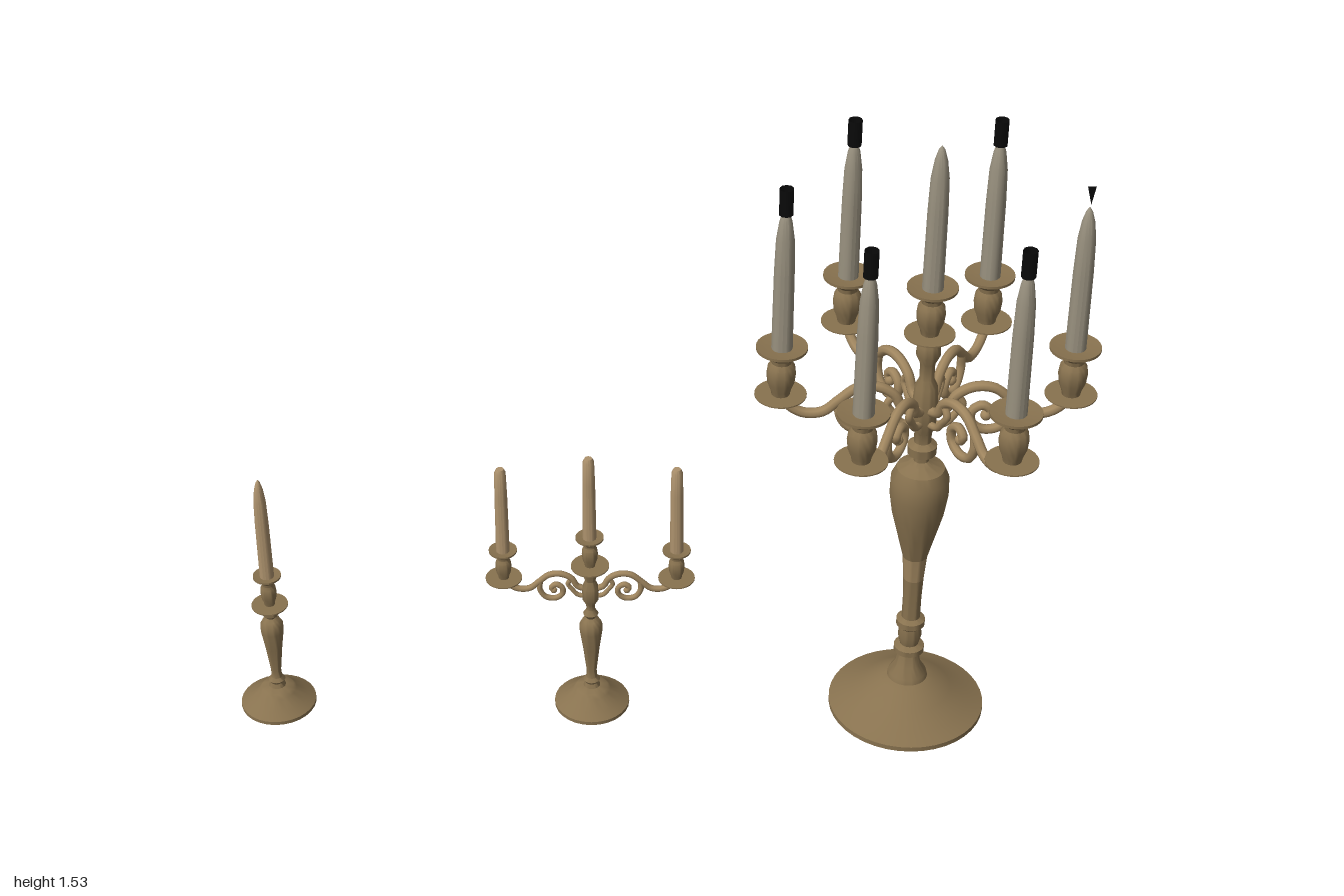
import * as THREE from 'three';
import { toCreasedNormals } from 'three/addons/utils/BufferGeometryUtils.js';

const paint = (name, color, side = THREE.FrontSide) => {
  const m = new THREE.MeshStandardMaterial({ color, side });
  m.name = name;
  return m;
};

export function createModel() {
  const bronze = paint('bronze', 0x88724f);
  const lightBronze = paint('lightBronze', 0xa0865f);
  const greyWax = paint('greyWax', 0x99917f);
  const tanWax = paint('tanWax', 0xad926d);
  const black = paint('wickBlack', 0x0a0a0a, THREE.DoubleSide);
  const felt = paint('darkRedFelt', 0x55282c);

  const add = (parent, name, geometry, material) => {
    const mesh = new THREE.Mesh(geometry, material);
    mesh.name = name;
    parent.add(mesh);
    return mesh;
  };
  const group = (parent, name, x = 0, y = 0) => {
    const g = new THREE.Group();
    g.name = name;
    g.position.set(x, y, 0);
    parent.add(g);
    return g;
  };
  // Turned part from [radius, height] pairs, bottom to top
  const turned = (parent, name, profile, material, segments = 28) => add(parent, name,
    toCreasedNormals(new THREE.LatheGeometry(profile.map(([r, y]) => new THREE.Vector2(r, y)), segments), 0.7), material);

  // Drip plate, cup and rim; height is plate to rim
  const cup = (parent, y, height, plate, rim) => {
    const g = group(parent, 'candleCup', 0, y);
    const h = height, b = rim * 0.53;
    turned(g, 'dripPlate', [[0, -0.003], [plate * 0.7, -0.003], [plate, 0.001], [plate, 0.004], [plate * 0.4, 0.004], [0, 0.004]], bronze);
    turned(g, 'cupBody', [[b * 0.65, 0], [b * 0.75, h * 0.12], [b, h * 0.28], [b * 1.08, h * 0.45], [b, h * 0.6],
      [b * 0.75, h * 0.68], [b * 0.8, h * 0.76], [rim * 0.75, h * 0.88], [rim, h * 0.95], [rim, h], [rim * 0.5, h * 0.97], [0, h * 0.97]], bronze);
    return g;
  };
  const candle = (parent, y, height, r, material, pointed) => turned(parent, 'candle', (pointed
    ? [[r, 0], [r * 0.95, 0.55], [r * 0.85, 0.78], [r * 0.6, 0.9], [r * 0.3, 0.97], [0, 1]]
    : [[r, 0], [r * 0.92, 0.7], [r * 0.82, 0.96], [r * 0.55, 1], [0, 1]]
  ).map(([a, b]) => [a, y + b * height]), material, 16);

  // Scrolled arm in the x-y plane, measured from the cup plate's height
  const tube = (parent, name, pts, radius, s) => {
    const curve = new THREE.CatmullRomCurve3(pts.map(([x, y]) => new THREE.Vector3(x * s, y * s, 0)));
    add(parent, name, new THREE.TubeGeometry(curve, 40, radius * s, 8), lightBronze);
  };
  const arm = (parent, s) => {
    const g = group(parent, 'scrollArm');
    tube(g, 'mainCurve', [[0.326, 0], [0.305, -0.03], [0.272, -0.048], [0.23, -0.045], [0.195, -0.015], [0.155, 0.018],
      [0.11, 0.022], [0.07, 0], [0.05, -0.035], [0.012, -0.05]], 0.012, s);
    tube(g, 'innerScroll', [[0.19, -0.012], [0.192, -0.05], [0.172, -0.085], [0.135, -0.093], [0.107, -0.073],
      [0.107, -0.043], [0.13, -0.028], [0.148, -0.042], [0.14, -0.057]], 0.011, s);
    tube(g, 'hubScroll', [[0.07, 0], [0.085, -0.025], [0.07, -0.05], [0.05, -0.075], [0.015, -0.085]], 0.009, s);
    add(g, 'scrollBead', new THREE.SphereGeometry(0.013 * s, 10, 8), lightBronze).position.set(0.139 * s, -0.055 * s, 0);
    return g;
  };

  const model = new THREE.Group();
  model.name = 'candelabraSet';
  const smallFoot = [[0.09, 0], [0.09, 0.009], [0.07, 0.022], [0.045, 0.042], [0.038, 0.05], [0.02, 0.054], [0.016, 0.065],
    [0.02, 0.072], [0.013, 0.08], [0.012, 0.1], [0.02, 0.17], [0.027, 0.22], [0.027, 0.24], [0.02, 0.253], [0.011, 0.26]];

  // Single candlestick
  const single = group(model, 'singleCandlestick', -0.91);
  turned(single, 'stem', [...smallFoot, [0.019, 0.27], [0.019, 0.277], [0.01, 0.285], [0.01, 0.298]], bronze);
  add(single, 'feltPad', new THREE.CircleGeometry(0.09, 28).rotateX(Math.PI / 2), felt);
  cup(single, 0.295, 0.09, 0.043, 0.033);
  candle(single, 0.38, 0.28, 0.017, tanWax, true);

  // Three-light candelabrum
  const triple = group(model, 'threeLightCandelabrum', -0.15);
  turned(triple, 'stem', [[0, 0], ...smallFoot, [0.018, 0.272], [0.01, 0.285], [0.011, 0.3], [0.019, 0.315], [0.02, 0.35],
    [0.012, 0.37], [0.018, 0.39], [0.01, 0.41]], bronze);
  cup(triple, 0.41, 0.087, 0.045, 0.033);
  candle(triple, 0.49, 0.23, 0.016, tanWax, false);
  for (const angle of [0, Math.PI]) {
    const branch = group(triple, 'branch', 0, 0.375);
    branch.rotation.y = angle;
    arm(branch, 0.62);
    const holder = group(branch, 'holder', 0.203);
    cup(holder, 0, 0.085, 0.043, 0.033);
    candle(holder, 0.08, 0.235, 0.016, tanWax, false);
  }

  // Seven-light candelabrum
  const large = group(model, 'sevenLightCandelabrum', 0.61);
  turned(large, 'base', [[0, 0], [0.186, 0], [0.186, 0.012], [0.15, 0.028], [0.105, 0.055], [0.065, 0.082], [0.048, 0.088],
    [0.045, 0.1], [0.03, 0.125], [0.023, 0.16]], bronze, 40);
  turned(large, 'lowerStem', [[0.023, 0.16], [0.036, 0.164], [0.036, 0.178], [0.022, 0.185], [0.028, 0.21], [0.026, 0.235],
    [0.034, 0.243], [0.034, 0.258], [0.022, 0.265], [0.022, 0.32], [0.024, 0.38]], bronze);
  turned(large, 'stemBand', [[0.024, 0.38], [0.029, 0.445]], lightBronze);
  turned(large, 'vase', [[0.029, 0.445], [0.045, 0.51], [0.06, 0.57], [0.068, 0.625], [0.067, 0.67], [0.055, 0.697],
    [0.03, 0.708], [0.018, 0.718], [0.018, 0.728]], bronze, 36);
  turned(large, 'upperStem', [[0.018, 0.728], [0.033, 0.738], [0.034, 0.76], [0.02, 0.77], [0.02, 0.795], [0.027, 0.81],
    [0.03, 0.86], [0.026, 0.92], [0.017, 0.94], [0.017, 0.98], [0.028, 1.005], [0.026, 1.03], [0.016, 1.055]], bronze);
  cup(large, 1.055, 0.125, 0.057, 0.057);
  candle(large, 1.17, 0.36, 0.024, greyWax, true);
  for (let i = 0; i < 6; i++) {
    const branch = group(large, 'branch', 0, i % 3 ? 0.91 : 0.895);
    branch.rotation.y = i * Math.PI / 3;
    arm(branch, 1);
    const holder = group(branch, 'holder', 0.326);
    cup(holder, 0, 0.13, 0.059, 0.058);
    candle(holder, 0.12, 0.365, 0.024, greyWax, true);
    if (i) {
      add(holder, 'wickSleeve', new THREE.CylinderGeometry(0.016, 0.016, 0.063, 10, 1, true), black).position.y = 0.498;
    } else {
      // Broken scrap of wick on one candle
      const scrap = new THREE.Shape([[-0.009, 0.535], [0.002, 0.49], [0.01, 0.535]].map(([x, y]) => new THREE.Vector2(x, y)));
      add(holder, 'wickScrap', new THREE.ShapeGeometry(scrap), black);
    }
  }
  return model;
}
